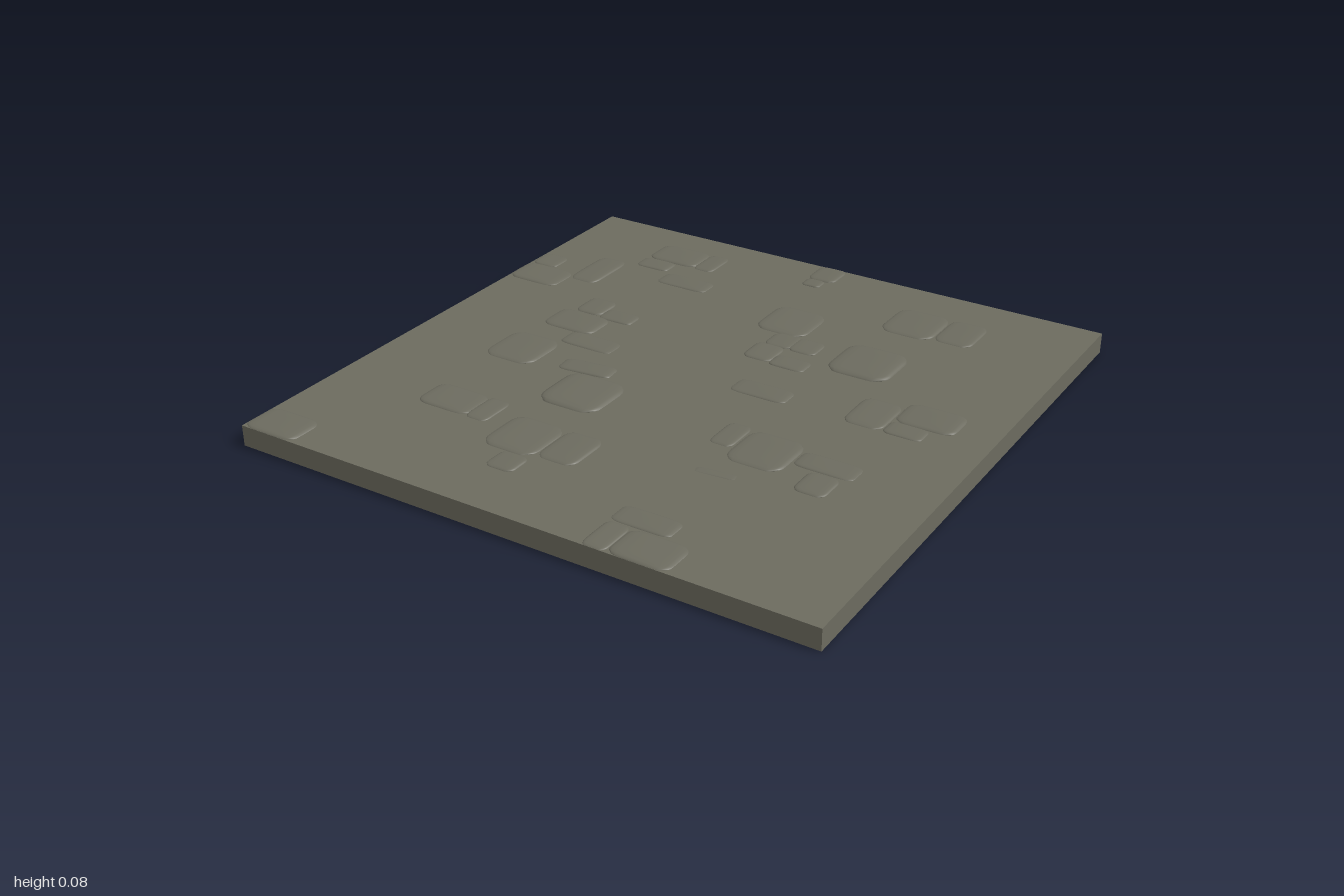
import * as THREE from 'three';

const TOP = 0.07; // height of the flat slab

// Kinds of cobble: footprint, rise above the slab and the centres [x, z] where each lies
const KINDS = [
  { name: 'largeCobble', w: 0.22, d: 0.22, rise: 0.012, at: [[0.43, -0.38], [-0.24, 0.28]] },
  { name: 'squareCobble', w: 0.19, d: 0.2, rise: 0.008,
    at: [[0.435, -0.73], [0.065, -0.525], [0.435, 0.3], [-0.23, 0.6], [-0.595, 0.12]] },
  { name: 'oblongCobble', w: 0.2, d: 0.14, rise: 0.008,
    at: [[-0.56, -0.805], [-0.9, -0.4], [-0.56, -0.14], [-0.56, 0.525], [-0.9, 0.93], [0.435, 0.93], [0.77, -0.14]] },
  { name: 'uprightCobble', w: 0.135, d: 0.18, rise: 0.007, at: [[0.6, -0.74], [0.6, -0.08], [-0.065, 0.59]] },
  { name: 'longBrick', w: 0.2, d: 0.09, rise: 0.006,
    at: [[-0.415, -0.61], [-0.425, -0.03], [0.235, -0.03], [0.635, 0.28], [0.35, 0.81]] },
  { name: 'turnedBrick', w: 0.19, d: 0.08, rise: 0.007, turn: 0.1, at: [[-0.325, 0.13]] },
  { name: 'narrowCobble', w: 0.08, d: 0.14, rise: 0.006,
    at: [[-0.425, -0.805], [-0.425, 0.525], [0.295, 0.265], [0.295, 0.93]] },
  { name: 'smallCobble', w: 0.105, d: 0.12, rise: 0.007,
    at: [[-0.015, -0.94], [0.1, -0.275], [-0.57, -0.275], [0.655, 0.39]] },
  { name: 'tallCobble', w: 0.11, d: 0.22, rise: 0.007, at: [[-0.745, -0.54]] },
  { name: 'cubeCobble', w: 0.1, d: 0.1, rise: 0.006,
    at: [[0.115, -0.38], [0.205, -0.38], [-0.18, 0.75], [-0.945, -0.52]] },
  { name: 'shortBrick', w: 0.13, d: 0.08, rise: 0.006,
    at: [[-0.595, -0.695], [0.215, -0.245], [-0.455, -0.245], [0.735, -0.03]] },
  { name: 'pebble', w: 0.07, d: 0.06, rise: 0.006, at: [[-0.025, -0.85]] },
  { name: 'buriedEdge', w: 0.13, d: 0.03, rise: 0.002, turn: 0.1, at: [[0.375, 0.485]] },
];

// Shallow pillow: a grid packed towards its rim, with rounded corners and a steep edge
function cobbleGeometry(width, depth, rise, tilt) {
  const g = new THREE.PlaneGeometry(2, 2, 12, 12).rotateX(-Math.PI / 2);
  const p = g.attributes.position;
  const corner = Math.min(width, depth) * 0.09;
  for (let i = 0; i < p.count; i++) {
    const u = Math.sin(p.getX(i) * Math.PI / 2);
    const v = Math.sin(p.getZ(i) * Math.PI / 2);
    const dome = Math.sqrt(Math.max(0, (1 - u ** 8) * (1 - v ** 8)));
    const crown = 1 - 0.12 * (u * u + v * v) + tilt * u;
    p.setXYZ(i,
      u * (width / 2 - corner * v ** 8),
      dome * rise * crown - 0.0005,
      v * (depth / 2 - corner * u ** 8));
  }
  g.computeVertexNormals();
  return g;
}

export function createModel() {
  const model = new THREE.Group();
  model.name = 'cobbledFloorTile';
  const stone = new THREE.MeshStandardMaterial({ color: 0x6c6b5f });
  stone.name = 'grey stone';

  // Flat base
  const slab = new THREE.Mesh(new THREE.BoxGeometry(2, TOP, 2), stone);
  slab.name = 'slab';
  slab.position.y = TOP / 2;
  model.add(slab);

  // Raised cobbles, each leaning slightly one way or the other
  const cobbles = new THREE.Group();
  cobbles.name = 'cobbles';
  for (const { name, w, d, rise, turn = 0, at } of KINDS) {
    at.forEach(([x, z], i) => {
      const tilt = i % 2 ? -0.1 : 0.1;
      const mesh = new THREE.Mesh(cobbleGeometry(w, d, rise, tilt), stone);
      mesh.name = `${name}${i + 1}`;
      mesh.position.set(x, TOP, z);
      mesh.rotation.y = turn;
      cobbles.add(mesh);
    });
  }
  model.add(cobbles);
  return model;
}
